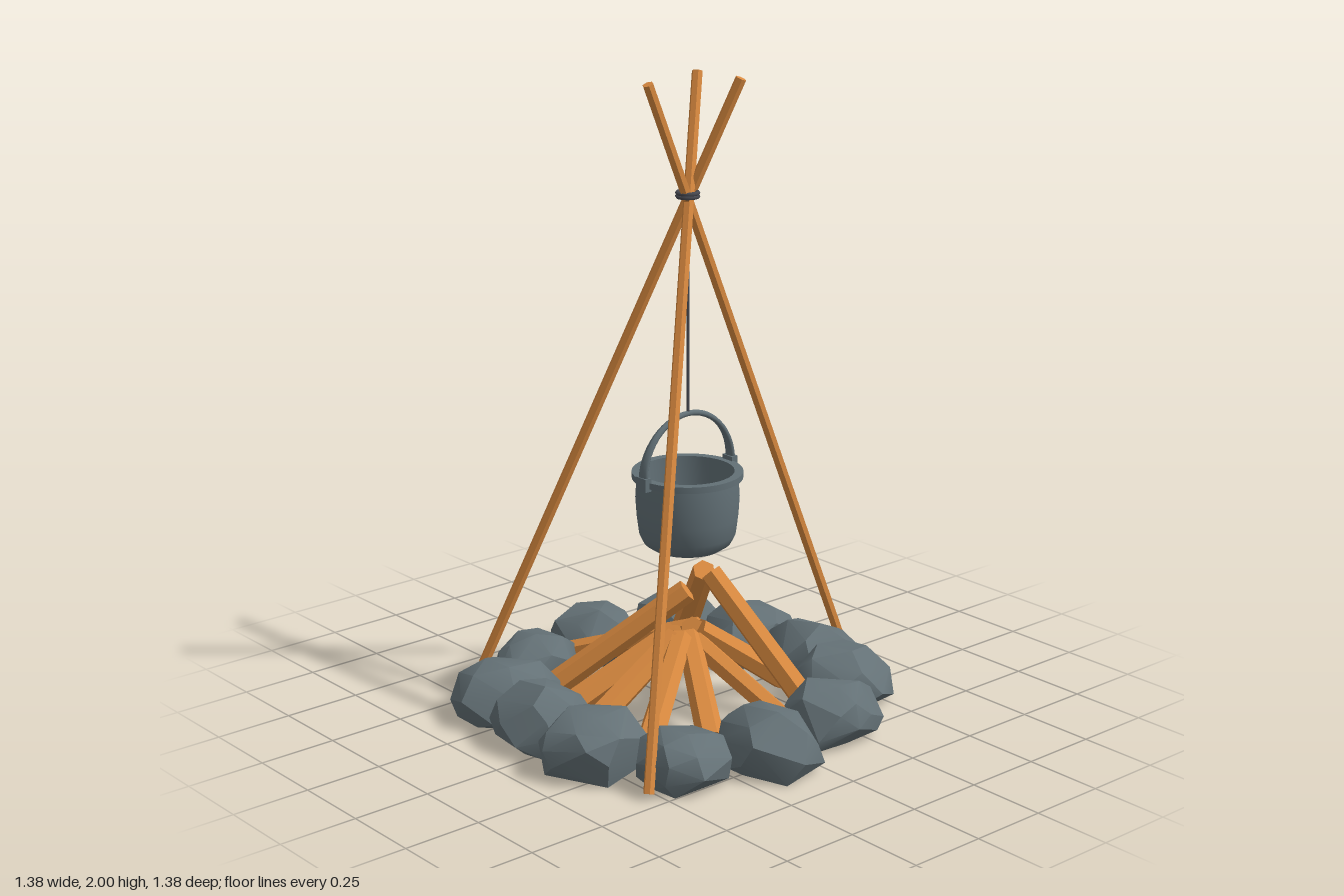
import * as THREE from 'three';
import { toCreasedNormals } from 'three/addons/utils/BufferGeometryUtils.js';
import { ConvexGeometry } from 'three/addons/geometries/ConvexGeometry.js';

const V = (x, y, z) => new THREE.Vector3(x, y, z);

function material(name, color, options = {}) {
  const m = new THREE.MeshStandardMaterial({ color, ...options });
  m.name = name;
  return m;
}

function seeded(seed) {
  let s = seed;
  return () => {
    s = (s * 16807) % 2147483647;
    return s / 2147483647;
  };
}

export function createModel() {
  const model = new THREE.Group();
  model.name = 'campfire';
  const wood = material('wood', 0xd8893f, { flatShading: true });
  const stone = material('stone', 0x647176);
  const iron = material('iron', 0x627076);
  const rope = material('rope', 0x484a52);

  function add(parent, name, geometry, mat) {
    const mesh = new THREE.Mesh(geometry, mat);
    mesh.name = name;
    parent.add(mesh);
    return mesh;
  }

  // Tapered stick from point a to point b
  function stick(parent, name, a, b, ra, rb, sides, mat, roll = 0) {
    const d = b.clone().sub(a);
    const g = new THREE.CylinderGeometry(rb, ra, d.length(), sides);
    g.rotateY(roll);
    const mesh = add(parent, name, g, mat);
    mesh.position.copy(a).add(b).multiplyScalar(0.5);
    mesh.quaternion.setFromUnitVectors(V(0, 1, 0), d.normalize());
    return mesh;
  }

  // Stone ring: x, z, half width, half depth, height
  const ring = new THREE.Group();
  ring.name = 'stoneRing';
  model.add(ring);
  const stones = [
    [-0.2, -0.44, 0.125, 0.165, 0.18], [0.07, -0.47, 0.165, 0.145, 0.19],
    [0.295, -0.415, 0.162, 0.17, 0.18], [0.48, -0.18, 0.132, 0.15, 0.19],
    [0.505, 0.105, 0.18, 0.142, 0.19], [0.425, 0.375, 0.143, 0.143, 0.17],
    [0.18, 0.53, 0.15, 0.16, 0.19], [-0.08, 0.52, 0.152, 0.147, 0.2],
    [-0.32, 0.485, 0.156, 0.165, 0.18], [-0.495, 0.235, 0.134, 0.152, 0.17],
    [-0.51, -0.045, 0.18, 0.142, 0.18], [-0.42, -0.32, 0.143, 0.143, 0.18],
  ];
  stones.forEach(([x, z, hx, hz, h], i) => {
    const rnd = seeded(977 + i * 7919);
    const points = [];
    for (let k = 0; k < 28; k++) {
      const y = 1 - (2 * (k + 0.5)) / 28;
      const a = k * 2.4 + rnd() * 0.9;
      const r = (1 - y * y) ** 0.45 * (0.88 + rnd() * 0.14);
      points.push(V(Math.cos(a) * r, Math.max(y * (0.85 + rnd() * 0.2), -0.5), Math.sin(a) * r));
    }
    // Fit the stone to its footprint and set it on the ground
    const box = new THREE.Box3().setFromPoints(points);
    const size = box.getSize(V(0, 0, 0));
    const mid = box.getCenter(V(0, 0, 0));
    points.forEach((p) => p.set(
      x + ((p.x - mid.x) / size.x) * 2 * hx,
      ((p.y - box.min.y) / size.y) * h,
      z + ((p.z - mid.z) / size.z) * 2 * hz));
    add(ring, 'stone' + (i + 1), toCreasedNormals(new ConvexGeometry(points), 0.55), stone);
  });

  // Firewood: outer end, then inner end; three tall logs lean over the low ones
  const fire = new THREE.Group();
  fire.name = 'firewood';
  model.add(fire);
  const logs = [
    [0.36, 0.06, -0.19, 0.01, 0.425, -0.09], [0.47, 0.06, -0.035, 0.03, 0.22, -0.01],
    [0.36, 0.06, 0.215, 0.02, 0.24, 0.01], [0.26, 0.05, 0.38, 0.03, 0.25, 0.05],
    [0.015, 0.05, 0.39, 0.015, 0.25, 0.06], [-0.13, 0.05, 0.39, -0.02, 0.25, 0.03],
    [-0.29, 0.05, 0.33, -0.01, 0.38, -0.01], [-0.46, 0.06, 0.095, -0.03, 0.23, -0.08],
    [-0.35, 0.06, -0.17, -0.02, 0.24, 0.04], [-0.32, 0.05, -0.24, -0.01, 0.43, -0.08],
    [-0.17, 0.05, -0.29, -0.01, 0.25, -0.03], [0.12, 0.05, -0.3, 0.01, 0.25, -0.04],
  ];
  logs.forEach(([ax, ay, az, bx, by, bz], i) => {
    stick(fire, 'log' + (i + 1), V(ax, ay, az), V(bx, by, bz),
      i === 1 ? 0.034 : 0.042, 0.037, 6, wood, i * 0.7);
  });

  // Tripod poles: foot, then tip
  const tripod = new THREE.Group();
  tripod.name = 'tripod';
  model.add(tripod);
  const poles = [
    [0.018, 0.018, -0.675, 0.018, 1.992, 0.165],
    [-0.52, 0.018, 0.455, 0.11, 1.992, -0.115],
    [0.452, 0.018, 0.537, -0.08, 1.992, -0.11],
  ];
  poles.forEach(([ax, ay, az, bx, by, bz], i) => {
    stick(tripod, 'pole' + (i + 1), V(ax, ay, az), V(bx, by, bz), 0.017, 0.017, 6, wood);
  });

  // Binding around the crossing, and the line to the pot
  for (const y of [1.64, 1.65]) {
    const g = new THREE.TorusGeometry(0.031, 0.007, 6, 16);
    g.rotateX(Math.PI / 2);
    add(tripod, 'binding', g, rope).position.set(0.008, y, 0.004);
  }
  stick(tripod, 'hangingLine', V(0.012, 0.97, 0.006), V(0.012, 1.64, 0.006), 0.005, 0.005, 6, rope);

  // Hollow pot with a rolled-out rim
  const pot = new THREE.Group();
  pot.name = 'pot';
  pot.position.set(0.012, 0, 0.008);
  model.add(pot);
  const profile = [
    [0, 0.53], [0.075, 0.531], [0.11, 0.538], [0.136, 0.556], [0.15, 0.585], [0.157, 0.64],
    [0.161, 0.7], [0.157, 0.762], [0.172, 0.764], [0.172, 0.784], [0.145, 0.784],
    [0.142, 0.7], [0.137, 0.61], [0.12, 0.57], [0.09, 0.552], [0, 0.547],
  ].map(([r, y]) => new THREE.Vector2(r, y));
  add(pot, 'kettle', toCreasedNormals(new THREE.LatheGeometry(profile, 36), 0.7), iron);

  // Bail handle, wide at the lugs and narrow at the top
  const bail = new THREE.TorusGeometry(0.176, 0.009, 8, 28, Math.PI);
  bail.rotateY(Math.PI / 2);
  const p = bail.attributes.position;
  for (let i = 0; i < p.count; i++) {
    p.setX(i, p.getX(i) * (2.4 - 1.4 * Math.min(1, Math.max(0, p.getY(i) / 0.176))));
  }
  bail.computeVertexNormals();
  add(pot, 'handle', bail, iron).position.y = 0.79;
  for (const side of [-1, 1]) {
    add(pot, 'lug', new THREE.BoxGeometry(0.044, 0.042, 0.024), iron).position.set(0, 0.777, side * 0.175);
  }

  return model;
}
